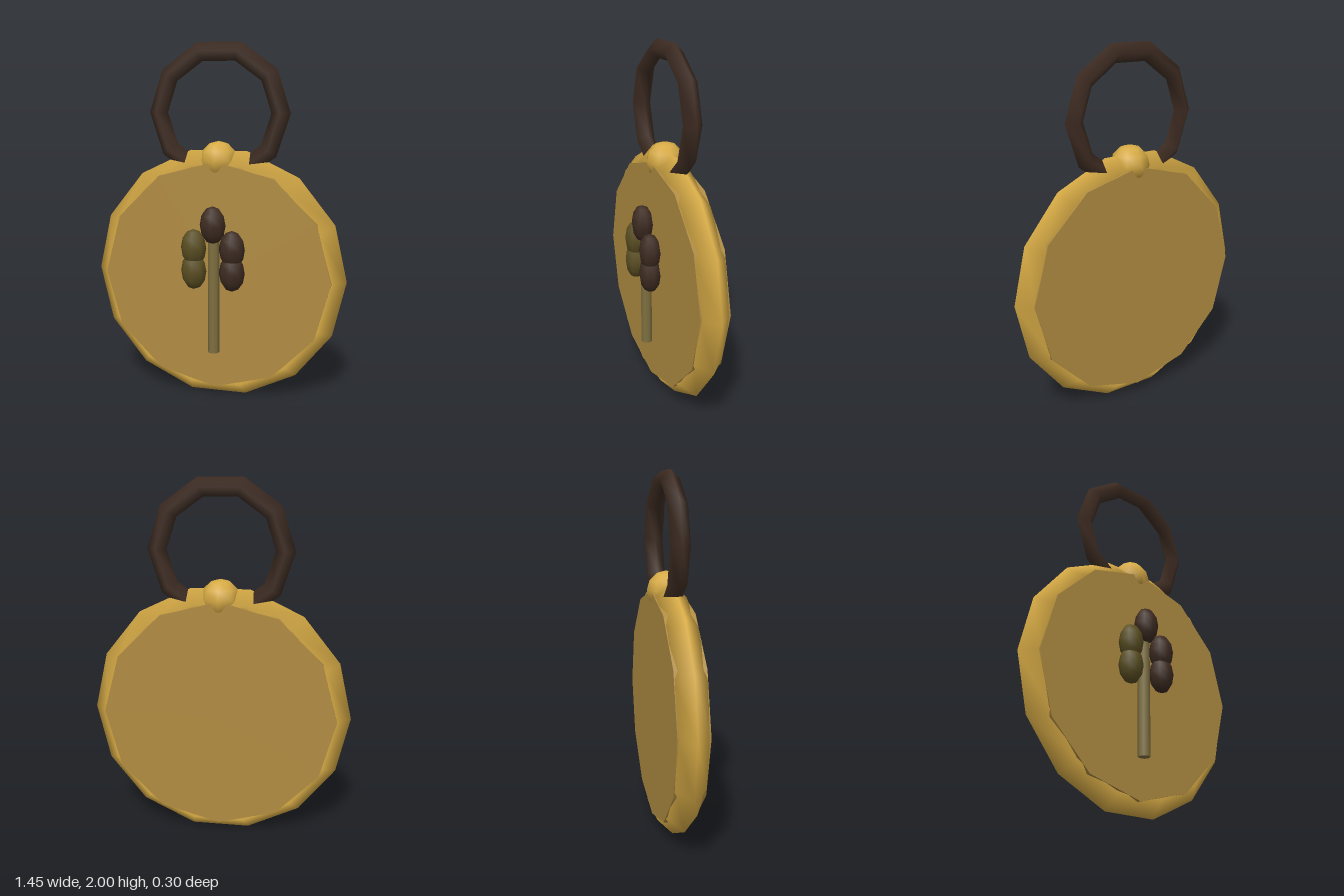
import * as THREE from 'three';

const mat = (name, color) => {
  const m = new THREE.MeshStandardMaterial({ color });
  m.name = name;
  return m;
};

export function createModel() {
  const gold = mat('gold', 0xd6aa45);
  const brass = mat('dull brass', 0xb08c42);
  const brown = mat('dark brown', 0x3e2c22);
  const olive = mat('olive', 0x5a4e22);
  const stemGreen = mat('stem green', 0x7f7040);

  const model = new THREE.Group();
  model.name = 'pendant';
  const add = (name, geometry, material, x, y, z) => {
    const mesh = new THREE.Mesh(geometry, material);
    mesh.name = name;
    mesh.position.set(x, y, z);
    model.add(mesh);
    return mesh;
  };
  const midZ = -0.045;

  // Twelve-sided disc inside a fourteen-sided diamond-section rim
  add('disc', new THREE.CylinderGeometry(0.65, 0.65, 0.17, 12).rotateX(Math.PI / 2), brass, 0, 0.709, midZ);
  add('rim', new THREE.TorusGeometry(0.643, 0.082, 4, 14), gold, 0, 0.707, midZ);

  // Hanging ring, its lower part sunk into the disc, and the bead in front
  add('hangingRing', new THREE.TorusGeometry(0.346, 0.053, 4, 10), brown, 0, 1.62, midZ);
  add('bead', new THREE.SphereGeometry(0.107, 8, 6), gold, 0, 1.36, midZ);

  // Raised sprig: a stem with one leaf on top and two on each side
  add('stem', new THREE.CylinderGeometry(0.033, 0.033, 0.7, 8), stemGreen, 0, 0.63, 0.068);
  const leaf = new THREE.SphereGeometry(1, 8, 6).scale(0.073, 0.105, 0.06);
  add('topLeaf', leaf, brown, 0, 1.016, 0.09);
  for (const y of [0.885, 0.753]) {
    add('leftLeaf', leaf, brown, 0.109, y, 0.09);
    add('rightLeaf', leaf, olive, -0.109, y, 0.09);
  }
  return model;
}
